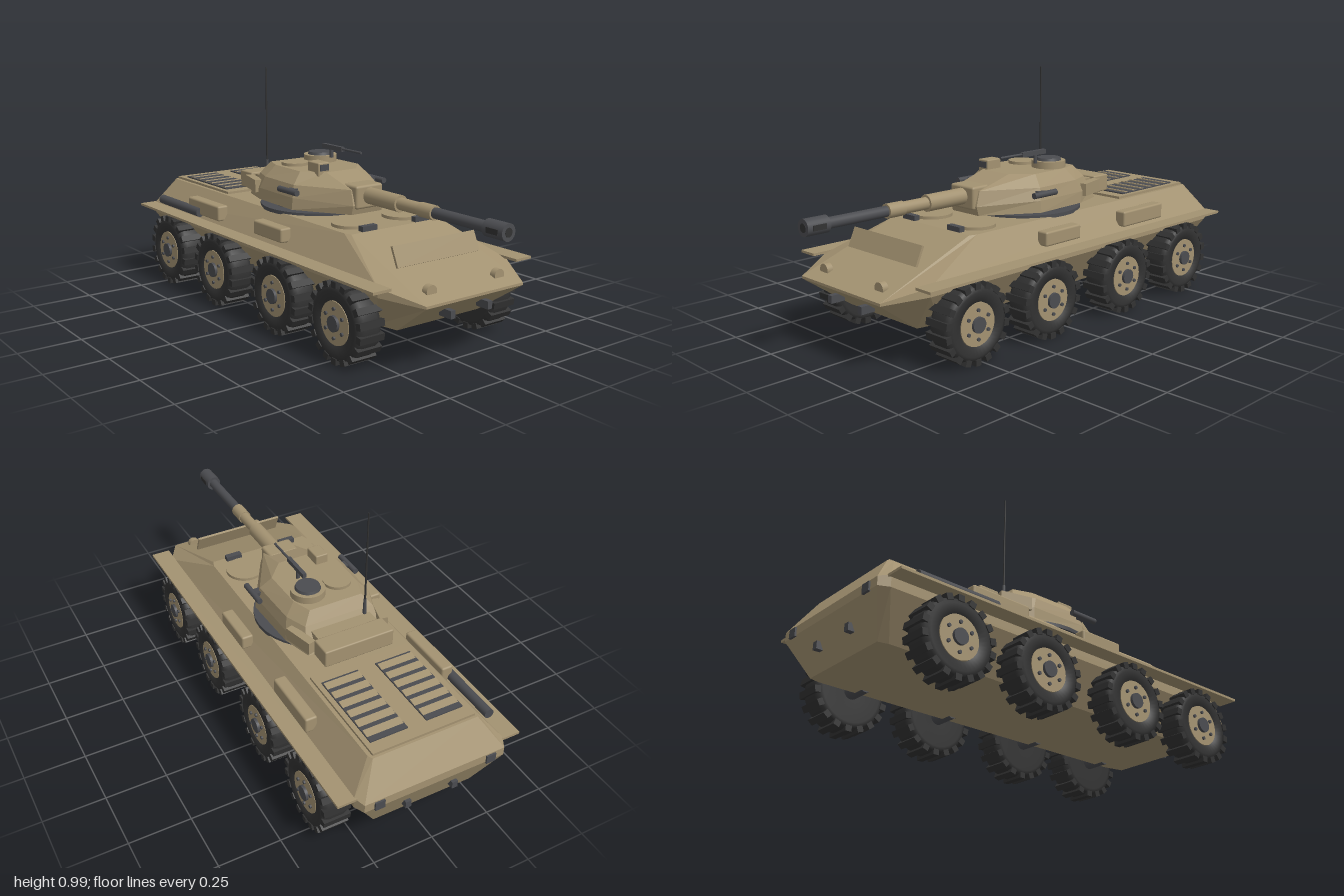
import * as THREE from 'three';
import { RoundedBoxGeometry } from 'three/addons/geometries/RoundedBoxGeometry.js';
import { mergeGeometries } from 'three/addons/utils/BufferGeometryUtils.js';

const mat = (name, color) => Object.assign(new THREE.MeshStandardMaterial({ color }), { name });

// Faceted solid from stacked levels; each level lists [x, y, z] on the +z half, rear to nose.
function loft(levels) {
  const rings = levels.map(h => [...h, ...h.slice().reverse().map(([x, y, z]) => [x, y, -z])]);
  const pos = [], n = rings[0].length;
  const tri = (a, b, c) => pos.push(...a, ...b, ...c);
  for (let k = 0; k < rings.length - 1; k++) {
    const a = rings[k], b = rings[k + 1];
    for (let i = 0; i < n; i++) {
      const j = (i + 1) % n;
      tri(a[i], a[j], b[j]);
      tri(a[i], b[j], b[i]);
    }
  }
  const bottom = rings[0], top = rings[rings.length - 1];
  for (let i = 1; i < n - 1; i++) {
    tri(top[0], top[i], top[i + 1]);
    tri(bottom[0], bottom[i + 1], bottom[i]);
  }
  const g = new THREE.BufferGeometry();
  g.setAttribute('position', new THREE.Float32BufferAttribute(pos, 3));
  g.computeVertexNormals();
  return g;
}

export function createModel() {
  const tan = mat('tan paint', 0xa39271);
  const steel = mat('dark steel', 0x4b4c50);
  const rubber = mat('tyre rubber', 0x323232);
  const model = new THREE.Group();
  model.name = 'armouredCar';

  const add = (name, geo, m, x = 0, y = 0, z = 0, parent = model) => {
    const mesh = new THREE.Mesh(geo, m);
    mesh.name = name;
    mesh.position.set(x, y, z);
    parent.add(mesh);
    return mesh;
  };
  // Box given by its extents on each axis
  const box = (name, m, x0, x1, y0, y1, z0, z1, parent = model) =>
    add(name, new THREE.BoxGeometry(x1 - x0, y1 - y0, z1 - z0), m,
      (x0 + x1) / 2, (y0 + y1) / 2, (z0 + z1) / 2, parent);
  const rounded = (name, m, x0, x1, y0, y1, z0, z1, r = 0.008, parent = model) =>
    add(name, new RoundedBoxGeometry(x1 - x0, y1 - y0, z1 - z0, 2, r), m,
      (x0 + x1) / 2, (y0 + y1) / 2, (z0 + z1) / 2, parent);
  // Upright disc standing on y0
  const disc = (name, m, r, x, y0, y1, z, parent = model, rTop = r) =>
    add(name, new THREE.CylinderGeometry(rTop, r, y1 - y0, 32), m, x, (y0 + y1) / 2, z, parent);
  // Cylinder lying along x
  const rod = (name, m, r, x0, x1, y, z, parent = model) =>
    add(name, new THREE.CylinderGeometry(r, r, x1 - x0, 24).rotateZ(-Math.PI / 2), m,
      (x0 + x1) / 2, y, z, parent);

  // Hull
  add('hull', loft([
    [[-0.92, 0.13, 0.21], [-0.88, 0.13, 0.22], [0.58, 0.13, 0.22], [0.67, 0.13, 0.2]],
    [[-0.99, 0.28, 0.295], [-0.95, 0.28, 0.315], [0.7, 0.28, 0.315], [0.86, 0.265, 0.235]],
    [[-0.99, 0.315, 0.295], [-0.95, 0.325, 0.315], [0.7, 0.315, 0.315], [0.86, 0.275, 0.235]],
    [[-0.91, 0.435, 0.22], [-0.89, 0.435, 0.23], [0.4, 0.435, 0.23], [0.43, 0.435, 0.22]],
  ]), tan);

  // Raised engine deck with two slatted grilles
  box('engineDeck', tan, -0.9, -0.45, 0.43, 0.445, -0.215, 0.215);
  for (const s of [1, -1]) {
    box('grille', steel, -0.85, -0.5, 0.44, 0.45, s * 0.117 - 0.078, s * 0.117 + 0.078);
    for (let i = 0; i < 6; i++) {
      const slat = box('grilleSlat', tan, -0.022, 0.022, 0.448, 0.452, s * 0.117 - 0.076, s * 0.117 + 0.076);
      slat.position.x = -0.815 + i * 0.056;
      slat.rotation.z = 0.2;
    }
  }

  // Fittings mirrored on both sides of the hull
  for (const s of [1, -1]) {
    box('fender', tan, -0.96, 0.76, 0.317, 0.327, s * 0.345 - 0.04, s * 0.345 + 0.04);
    rounded('rearStowageBox', tan, -0.615, -0.355, 0.345, 0.41, s * 0.298 - 0.025, s * 0.298 + 0.025);
    rounded('frontStowageBox', tan, -0.08, 0.12, 0.35, 0.408, s * 0.298 - 0.025, s * 0.298 + 0.025);
    disc('crewHatch', tan, 0.08, 0.31, 0.43, 0.447, s * 0.125);
    box('driverPeriscope', steel, 0.403, 0.428, 0.43, 0.455, s * 0.13 - 0.035, s * 0.13 + 0.035);
    rod('headlight', tan, 0.024, 0.785, 0.81, 0.302, s * 0.165);
    box('towHook', steel, 0.78, 0.84, 0.197, 0.227, s * 0.09 - 0.011, s * 0.09 + 0.011);
    box('tailLight', steel, -0.997, -0.97, 0.275, 0.31, s * 0.235 - 0.02, s * 0.235 + 0.02);
    box('rearHook', steel, -0.975, -0.93, 0.19, 0.22, s * 0.1 - 0.012, s * 0.1 + 0.012);
  }
  rod('exhaust', steel, 0.02, -0.855, -0.51, 0.357, 0.322);
  const vane = box('trimVane', tan, -0.005, 0.005, -0.04, 0.04, -0.2, 0.2);
  vane.position.set(0.65, 0.394, 0);
  vane.rotation.z = 0.42;

  // Wheels: tyre with tread blocks, hub plate, bolts and cap
  const tyreProfile = [[0.001, -0.05], [0.12, -0.055], [0.138, -0.048], [0.146, -0.03], [0.146, 0.03],
    [0.138, 0.048], [0.12, 0.055], [0.084, 0.05], [0.08, 0.03], [0.001, 0.03]];
  const tyre = new THREE.LatheGeometry(tyreProfile.map(([r, y]) => new THREE.Vector2(r, y)), 40)
    .rotateX(Math.PI / 2);
  const treads = [], bolts = [];
  for (let i = 0; i < 18; i++) {
    treads.push(new THREE.BoxGeometry(0.026, 0.024, 0.11).translate(0, 0.143, 0)
      .rotateZ(i * Math.PI / 9));
  }
  for (let i = 0; i < 6; i++) {
    bolts.push(new THREE.CylinderGeometry(0.007, 0.007, 0.01, 8).rotateX(Math.PI / 2)
      .translate(0, 0.055, 0.053).rotateZ(i * Math.PI / 3));
  }
  const tread = mergeGeometries(treads), boltRing = mergeGeometries(bolts);
  const drum = (r, depth) => new THREE.CylinderGeometry(r, r, depth, 32).rotateX(Math.PI / 2);
  for (const x of [-0.71, -0.31, 0.14, 0.535]) {
    for (const s of [1, -1]) {
      const wheel = new THREE.Group();
      wheel.name = 'wheel';
      wheel.position.set(x, 0.155, s * 0.326);
      if (s < 0) wheel.rotation.y = Math.PI;
      add('tyre', tyre, rubber, 0, 0, 0, wheel);
      add('tread', tread, rubber, 0, 0, 0, wheel);
      add('hubPlate', drum(0.082, 0.03), tan, 0, 0, 0.036, wheel);
      add('hubBolts', boltRing, steel, 0, 0, 0, wheel);
      add('hubCap', drum(0.03, 0.025), steel, 0, 0, 0.05, wheel);
      add('axle', drum(0.03, 0.12), steel, 0, 0, -0.09, wheel);
      model.add(wheel);
    }
  }

  // Turret
  const turret = new THREE.Group();
  turret.name = 'turret';
  model.add(turret);
  disc('turretRing', steel, 0.243, -0.075, 0.43, 0.445, 0, turret);
  disc('turretCollar', steel, 0.19, -0.075, 0.44, 0.46, 0, turret);
  add('turretShell', loft([
    [[-0.345, 0.453, 0.165], [-0.22, 0.453, 0.2], [0.03, 0.453, 0.21], [0.245, 0.453, 0.075]],
    [[-0.325, 0.49, 0.163], [-0.22, 0.5, 0.198], [0.03, 0.5, 0.205], [0.255, 0.49, 0.075]],
    [[-0.29, 0.55, 0.15], [-0.2, 0.55, 0.185], [0.02, 0.55, 0.192], [0.235, 0.55, 0.07]],
    [[-0.26, 0.597, 0.115], [-0.18, 0.597, 0.143], [0, 0.597, 0.147], [0.08, 0.597, 0.075]],
  ]), tan, 0, 0, 0, turret);
  rounded('bustleBox', tan, -0.45, -0.36, 0.465, 0.537, -0.15, 0.15, 0.006, turret);
  box('bustleMount', tan, -0.37, -0.27, 0.475, 0.53, -0.13, 0.13, turret);
  for (const s of [1, -1]) {
    const bin = box('turretSideBin', tan, -0.365, -0.235, 0.478, 0.53, s * 0.175 - 0.017, s * 0.175 + 0.017, turret);
    bin.rotation.y = -s * 0.25;
    rod('smokeLauncher', steel, 0.012, -0.04, 0.085, 0.53, s * 0.221, turret);
    box('launcherBracket', steel, 0.005, 0.04, 0.522, 0.538, s * 0.2 - 0.02, s * 0.2 + 0.02, turret);
  }

  // Gun
  rounded('mantlet', tan, 0.175, 0.265, 0.475, 0.568, -0.066, 0.066, 0.01, turret);
  rod('gunSleeve', tan, 0.033, 0.26, 0.45, 0.525, 0, turret);
  rod('gunInnerSleeve', tan, 0.024, 0.45, 0.57, 0.525, 0, turret);
  rod('gunCollar', tan, 0.028, 0.565, 0.64, 0.525, 0, turret);
  rod('gunBarrel', steel, 0.021, 0.64, 0.91, 0.525, 0, turret);
  rod('muzzleBrake', steel, 0.032, 0.905, 1, 0.525, 0, turret);
  rod('muzzleBore', rubber, 0.017, 0.994, 1.001, 0.525, 0, turret);
  box('muzzlePort', rubber, 0.925, 0.98, 0.515, 0.535, -0.0335, 0.0335, turret);

  // Roof fittings
  disc('cupola', tan, 0.07, -0.16, 0.595, 0.626, -0.07, turret);
  disc('cupolaHatch', steel, 0.053, -0.16, 0.624, 0.637, -0.07, turret, 0.048);
  disc('machineGunPost', steel, 0.008, -0.08, 0.62, 0.665, -0.07, turret);
  box('machineGunBody', steel, -0.135, 0, 0.655, 0.674, -0.078, -0.062, turret);
  rod('machineGunBarrel', steel, 0.005, 0, 0.12, 0.666, -0.07, turret);
  disc('loaderHatch', tan, 0.057, -0.145, 0.595, 0.609, 0.07, turret);
  rounded('sight', tan, -0.005, 0.072, 0.58, 0.636, 0.053, 0.108, 0.005, turret);
  box('sightGlass', steel, 0.07, 0.076, 0.603, 0.628, 0.06, 0.101, turret);
  disc('antennaBase', steel, 0.008, -0.3, 0.52, 0.6, 0.108, turret, 0.006);
  disc('antenna', rubber, 0.004, -0.3, 0.58, 0.992, 0.108, turret, 0.003);

  return model;
}
